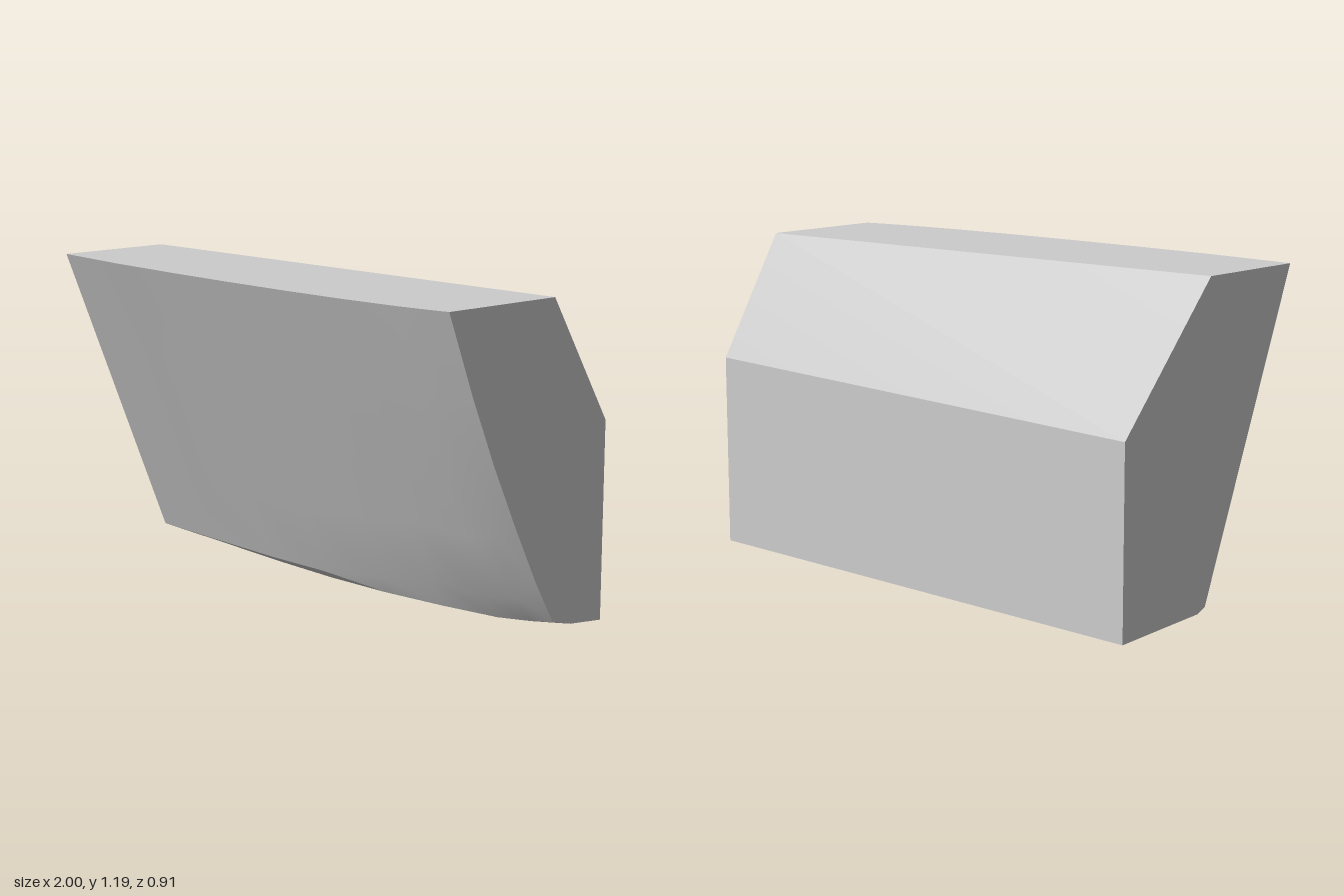
import * as THREE from 'three';
import { toCreasedNormals } from 'three/addons/utils/BufferGeometryUtils.js';

const TOP = 1.19, BACK = -0.455;

// x, top edge z, lower crease z and y, bottom edge z and y
const STATIONS = [
  [-1, 0.445, -0.01, 0.035, -0.05, 0.018],
  [-0.65, 0.455, -0.012, 0.035, -0.05, 0.015],
  [-0.3, 0.448, -0.013, 0.037, -0.05, 0.012],
  [0, 0.435, -0.015, 0.045, -0.055, 0.012],
  [0.3, 0.415, -0.023, 0.085, -0.06, 0.02],
  [0.57, 0.388, -0.035, 0.13, -0.09, 0.025],
  [0.8, 0.355, -0.075, 0.11, -0.14, 0.025],
  [0.92, 0.33, -0.11, 0.13, -0.185, 0.03],
  [1, 0.31, -0.12, 0.2, -0.21, 0.04],
];

// Front face and underside of one cross-section, from the top down and back
function section([x, topZ, creaseZ, creaseY, lowZ, lowY]) {
  const bulge = 0.02 * Math.max(0, x) ** 4;
  const onFront = (t) => [
    x,
    THREE.MathUtils.lerp(TOP, creaseY, t),
    THREE.MathUtils.lerp(topZ, creaseZ, t) + bulge * Math.sin(Math.PI * t),
  ];
  return [
    onFront(0), onFront(0.3), onFront(0.55), onFront(0.78), [x, creaseY, creaseZ],
    [x, lowY, lowZ], [x, lowY * 0.4, -0.3], [x, 0, BACK],
  ];
}

// Fan of triangles around the first corner
function fan(...p) {
  const out = [];
  for (let i = 1; i < p.length - 1; i++) out.push(p[0], p[i], p[i + 1]);
  return out;
}

function makeMesh(name, points, material) {
  const geometry = new THREE.BufferGeometry();
  geometry.setAttribute('position', new THREE.Float32BufferAttribute(points.flat(), 3));
  geometry.computeVertexNormals();
  const mesh = new THREE.Mesh(toCreasedNormals(geometry, 0.35), material);
  mesh.name = name;
  return mesh;
}

export function createModel() {
  const group = new THREE.Group();
  group.name = 'curvedPanelBlock';
  const grey = new THREE.MeshStandardMaterial({ color: 0xcccccc });
  grey.name = 'plainGrey';

  const loops = STATIONS.map(section);
  const first = loops[0], last = loops[loops.length - 1];
  const topBack = (x) => [x, TOP, -0.0975 - 0.0875 * x];

  // Curved front with its underside, and the flat top
  const shell = [], top = [];
  for (let i = 0; i < loops.length - 1; i++) {
    const a = loops[i], b = loops[i + 1];
    for (let j = 0; j < a.length - 1; j++) shell.push(...fan(a[j], a[j + 1], b[j + 1], b[j]));
    top.push(...fan(a[0], b[0], topBack(b[0][0]), topBack(a[0][0])));
  }
  group.add(makeMesh('frontAndUnderside', shell, grey), makeMesh('top', top, grey));

  // Twisted back slope above the upright back wall
  const topL = topBack(1), topR = topBack(-1);
  const ridgeL = [1, 0.73, BACK], ridgeR = [-1, 0.69, BACK];
  const footL = last[last.length - 1], footR = first[first.length - 1];
  group.add(makeMesh('backSlope', fan(topL, ridgeL, ridgeR, topR), grey));
  group.add(makeMesh('backWall', fan(ridgeL, footL, footR, ridgeR), grey));

  // Flat ends
  group.add(makeMesh('leftEnd', fan(topL, ...last, ridgeL), grey));
  group.add(makeMesh('rightEnd', fan(topR, ridgeR, ...[...first].reverse()), grey));
  return group;
}
